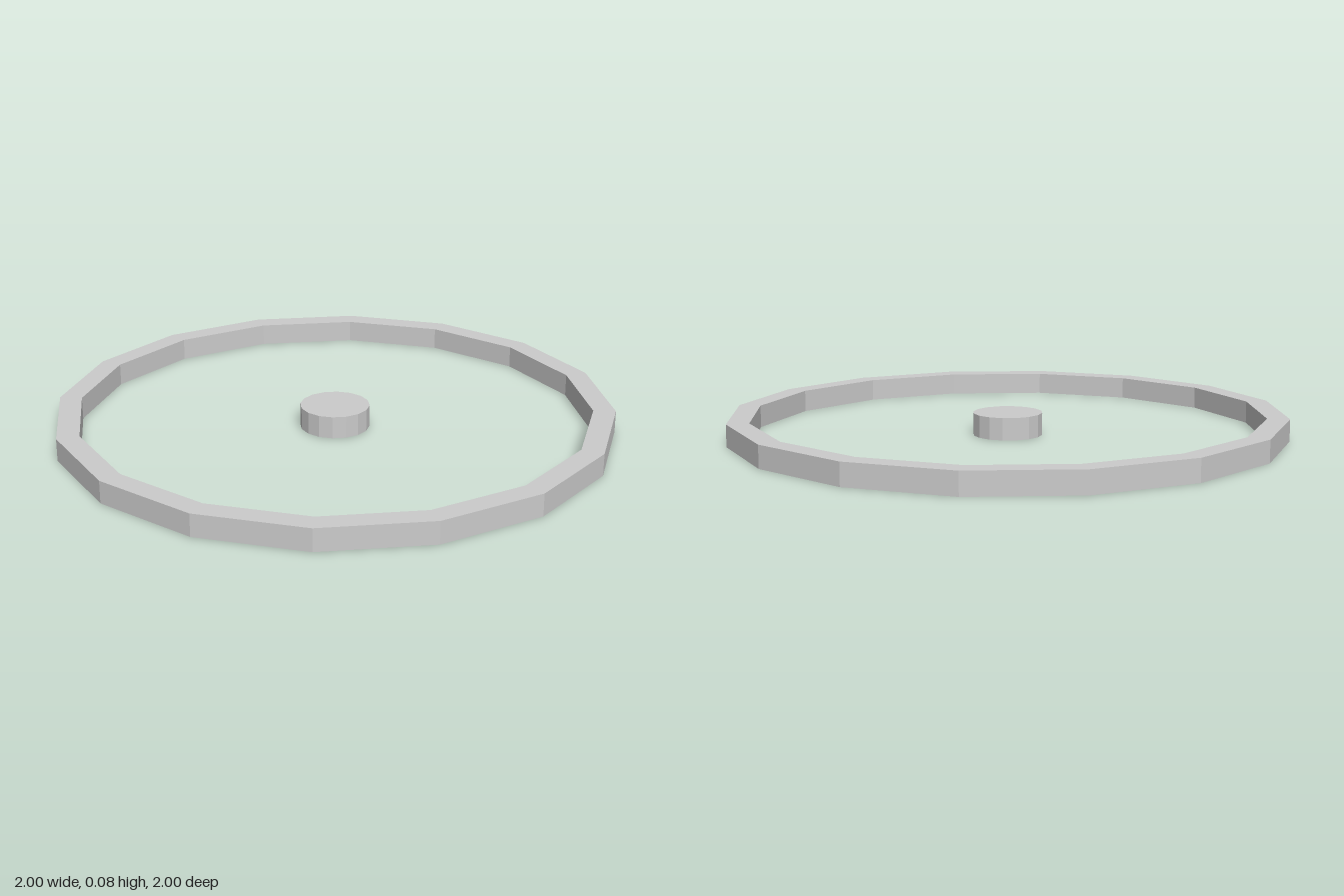
import * as THREE from 'three';

const SIDES = 16;
const HEIGHT = 0.08;

export function createModel() {
  const model = new THREE.Group();
  const material = new THREE.MeshStandardMaterial({ color: 0xcccccc, flatShading: true });

  const add = (name, geometry) => {
    const mesh = new THREE.Mesh(geometry, material);
    mesh.name = name;
    model.add(mesh);
    return mesh;
  };

  // Outer ring: a closed rectangular section turned about y
  const inner = 0.92, outer = 1;
  const section = [[inner, 0], [outer, 0], [outer, HEIGHT], [inner, HEIGHT], [inner, 0]]
    .map(([r, y]) => new THREE.Vector2(r, y));
  add('outerRing', new THREE.LatheGeometry(section, SIDES));

  // Central disc
  add('centerDisc', new THREE.CylinderGeometry(0.125, 0.125, HEIGHT, SIDES)).position.y = HEIGHT / 2;

  return model;
}
